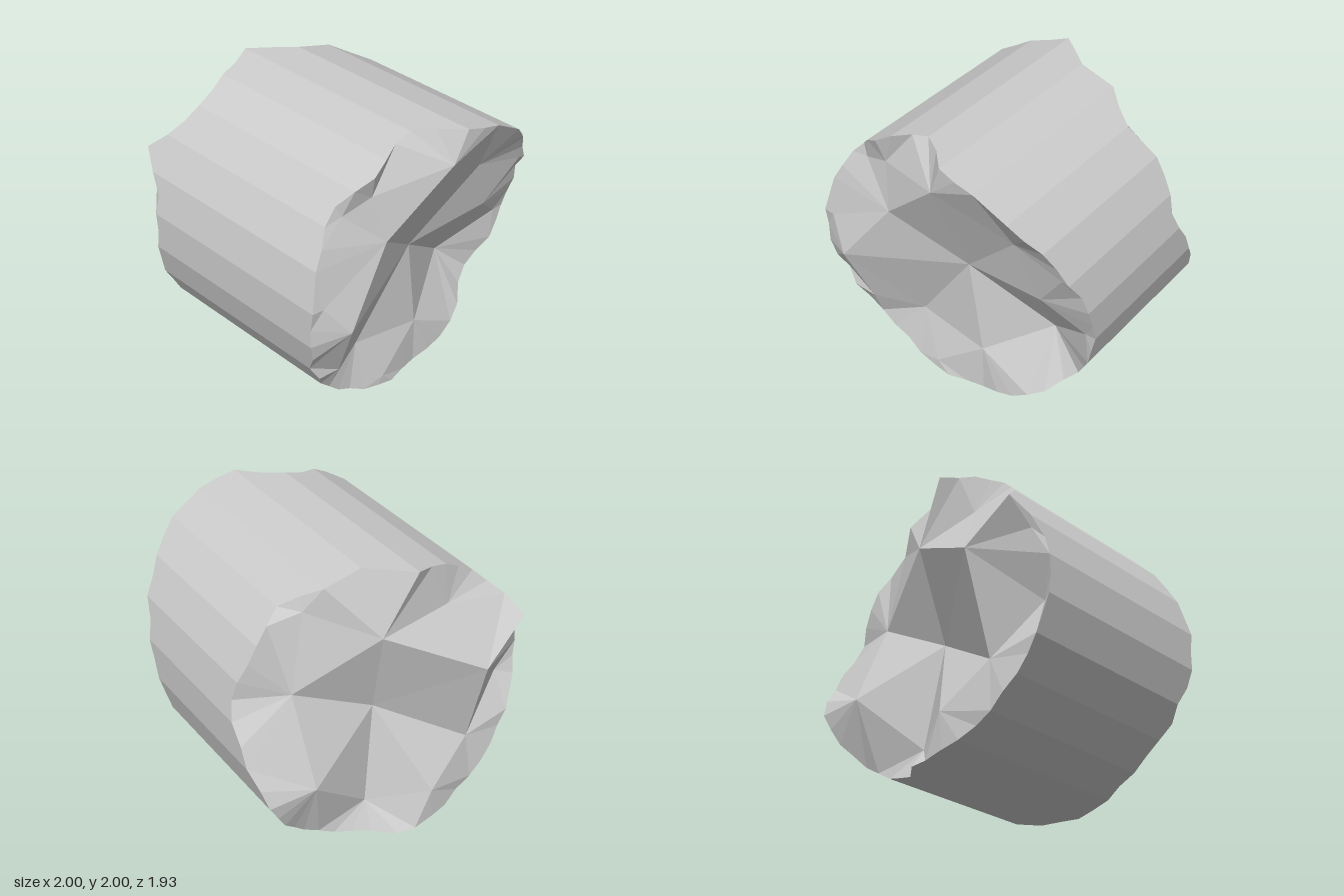
import * as THREE from 'three';

// Rim depths, one every 7.5 degrees counter-clockwise from 7.5 degrees
const FRONT_RIM = [
  .64, .67, .76, .79, .84, .90, .94, .95, .96, .96, .94, .80,
  .71, .71, .76, .78, .73, .66, .67, .71, .73, .75, .77, .75,
  .75, .73, .66, .68, .62, .60, .59, .58, .60, .61, .61, .58,
  .56, .58, .58, .57, .53, .45, .42, .46, .52, .54, .55, .59];
const BACK_RIM = [
  -.42, -.37, -.39, -.41, -.41, -.38, -.35, -.42, -.52, -.53, -.54, -.66,
  -.77, -.72, -.70, -.68, -.68, -.72, -.79, -.92, -.80, -.71, -.71, -.70,
  -.72, -.74, -.76, -.76, -.78, -.80, -.80, -.80, -.83, -.84, -.84, -.82,
  -.70, -.66, -.63, -.62, -.62, -.65, -.69, -.72, -.73, -.68, -.58, -.52];

// Peaks, hollows and edge chips of the two broken ends
const FRONT_PEAKS = [
  [.04, 1.02, .57], [.04, 1.78, .92], [-.41, 1.38, .80], [-.77, .92, .87],
  [-.39, .42, .52], [.13, .34, .56], [.56, .61, .34], [.66, 1.09, .66],
  [.51, 1.49, .73], [-.47, 1.70, .73], [-.67, 1.63, .68],
  [-.70, .48, .68], [.92, .86, .54], [.88, 1.40, .76], [-.22, .09, .61],
  [.72, .32, .44], [-.92, 1.13, .78]];
const BACK_PEAKS = [
  [.02, .91, -.53], [.09, 1.57, -.72], [.61, 1.22, -.49], [-.55, 1.23, -.97],
  [-.58, .55, -.77], [.12, .20, -.6], [.6, .63, -.75], [-.25, .28, -.85],
  [-.4, 1.65, -.72], [.5, 1.77, -.45], [-.9, .88, -.64], [-.92, 1.31, -.78]];

// 24-sided outline: even points are corners, odd points the middle of a side
function rimPoints(depths) {
  return depths.map((z, i) => {
    const a = THREE.MathUtils.degToRad(7.5 * (i + 1));
    const r = i % 2 ? 1 : 1 / Math.cos(Math.PI / 24);
    return [r * Math.cos(a), 1 + r * Math.sin(a), z];
  });
}

// Delaunay triangles in x and y, counter-clockwise seen from +z
function triangulate(pts) {
  const tris = [], n = pts.length;
  for (let i = 0; i < n; i++) for (let j = i + 1; j < n; j++) for (let k = j + 1; k < n; k++) {
    const [ax, ay] = pts[i], [bx, by] = pts[j], [cx, cy] = pts[k];
    const ux = bx - ax, uy = by - ay, vx = cx - ax, vy = cy - ay;
    const d = 2 * (ux * vy - uy * vx);
    if (Math.abs(d) < 1e-6) continue;
    const uu = ux * ux + uy * uy, vv = vx * vx + vy * vy;
    const ox = (vy * uu - uy * vv) / d, oy = (ux * vv - vx * uu) / d;
    const r2 = ox * ox + oy * oy;
    const empty = pts.every((p, m) => m === i || m === j || m === k ||
      (p[0] - ax - ox) ** 2 + (p[1] - ay - oy) ** 2 > r2 - 1e-9);
    if (empty) tris.push(d > 0 ? [i, j, k] : [i, k, j]);
  }
  return tris;
}

function facetMesh(name, corners) {
  const geometry = new THREE.BufferGeometry();
  geometry.setAttribute('position', new THREE.Float32BufferAttribute(corners.flat(), 3));
  geometry.computeVertexNormals();
  const mesh = new THREE.Mesh(geometry, new THREE.MeshStandardMaterial({ color: 0xcccccc, flatShading: true }));
  mesh.name = name;
  return mesh;
}

function brokenEnd(name, rim, peaks, facesBack) {
  const pts = [...rim, ...peaks];
  const corners = triangulate(pts).flatMap(([a, b, c]) =>
    (facesBack ? [a, c, b] : [a, b, c]).map(i => pts[i]));
  return facetMesh(name, corners);
}

export function createModel() {
  const group = new THREE.Group();
  group.name = 'brokenColumnDrum';
  const front = rimPoints(FRONT_RIM), back = rimPoints(BACK_RIM);

  // Faceted shaft between the two ragged rims
  const side = [];
  front.forEach((f0, i) => {
    const j = (i + 1) % front.length;
    side.push(f0, back[i], back[j], f0, back[j], front[j]);
  });
  group.add(facetMesh('shaft', side));

  // Rough fracture surfaces
  group.add(brokenEnd('frontFracture', front, FRONT_PEAKS, false));
  group.add(brokenEnd('backFracture', back, BACK_PEAKS, true));
  return group;
}
